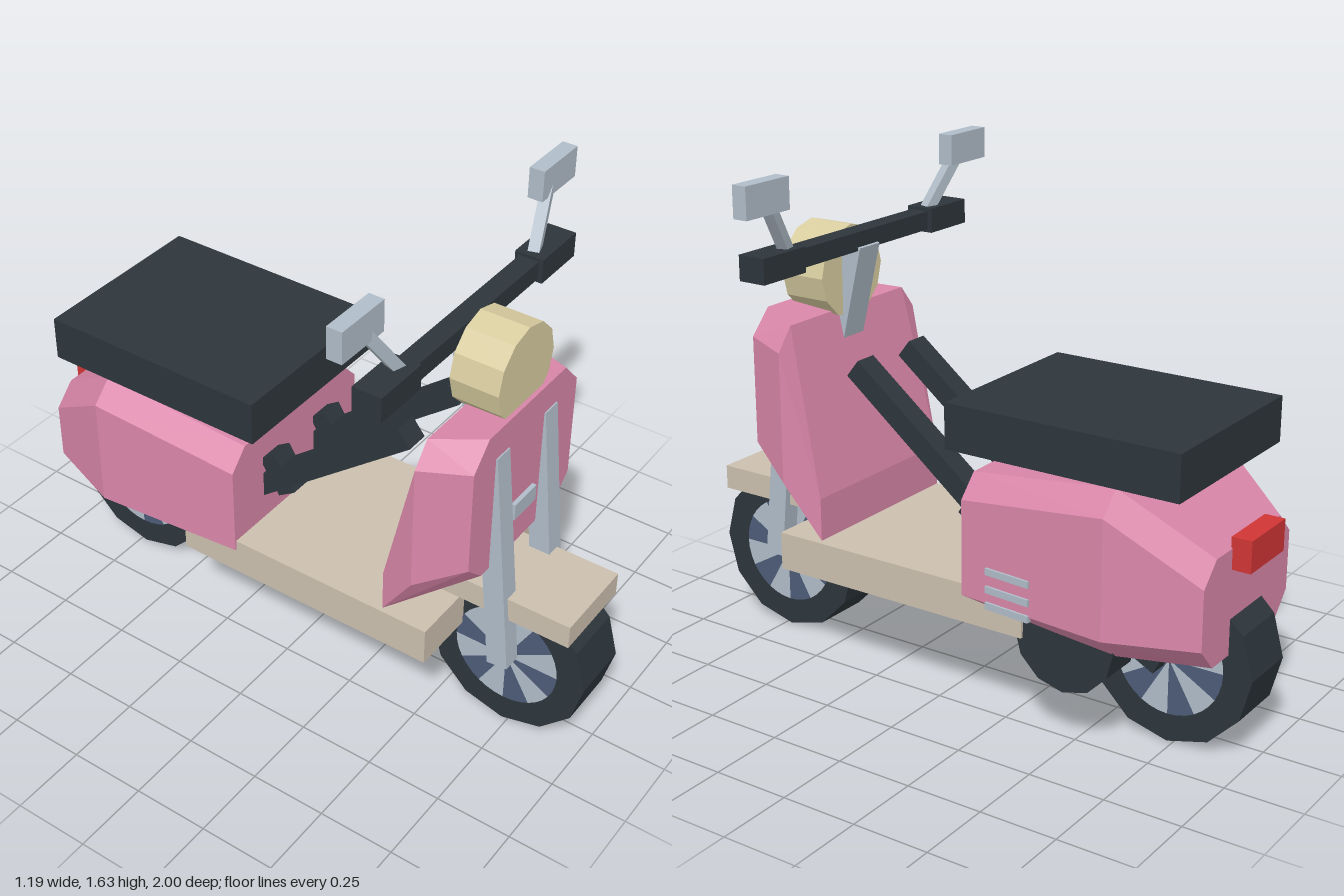
import * as THREE from 'three';
import { mergeGeometries } from 'three/addons/utils/BufferGeometryUtils.js';
import { ConvexGeometry } from 'three/addons/geometries/ConvexGeometry.js';

const paint = (name, color) => {
  const m = new THREE.MeshStandardMaterial({ color });
  m.name = name;
  return m;
};

export function createModel() {
  const pink = paint('pink', 0xd986a8);
  const dark = paint('charcoal', 0x2d353b);
  const beige = paint('beige', 0xcbbfae);
  const silver = paint('silver', 0xb0bcc8);
  const slate = paint('slate', 0x4d5b78);
  const cream = paint('cream', 0xd8cca0);
  const red = paint('red', 0xd03535);

  const model = new THREE.Group();
  model.name = 'scooter';

  const add = (name, geometry, material, parent = model) => {
    const mesh = new THREE.Mesh(geometry, material);
    mesh.name = name;
    parent.add(mesh);
    return mesh;
  };
  // Box given by its lower and upper limits on each axis
  const box = (name, mat, x0, x1, y0, y1, z0, z1) => {
    const mesh = add(name, new THREE.BoxGeometry(x1 - x0, y1 - y0, z1 - z0), mat);
    mesh.position.set((x0 + x1) / 2, (y0 + y1) / 2, (z0 + z1) / 2);
    return mesh;
  };
  // Square-section bar between two points
  const bar = (name, mat, from, to, width, thick) => {
    const a = new THREE.Vector3(...from), b = new THREE.Vector3(...to);
    const mesh = add(name, new THREE.BoxGeometry(width, thick, a.distanceTo(b)), mat);
    mesh.position.copy(a).add(b).multiplyScalar(0.5);
    mesh.lookAt(b);
    return mesh;
  };
  // Faceted twelve-sided drum lying along z, or along x
  const drum = (r, length, alongX) => {
    const g = new THREE.CylinderGeometry(r, r, length, 12).toNonIndexed();
    if (alongX) g.rotateZ(Math.PI / 2); else g.rotateX(Math.PI / 2);
    g.computeVertexNormals();
    return g;
  };
  // Faceted hull from points mirrored in x
  const hull = (name, mat, points) => add(name, new ConvexGeometry(
    points.flatMap(([x, y, z]) => [new THREE.Vector3(x, y, z), new THREE.Vector3(-x, y, z)])), mat);

  // Wheels with alternating wedges on both sides
  const wedges = (offset) => {
    const list = [];
    for (const side of [1, -1]) {
      for (let i = offset; i < 12; i += 2) {
        const g = new THREE.CircleGeometry(0.178, 1, i * Math.PI / 6, Math.PI / 6);
        g.rotateY(side * Math.PI / 2);
        g.translate(side * 0.103, 0, 0);
        list.push(g);
      }
    }
    return mergeGeometries(list);
  };
  for (const [name, z] of [['frontWheel', 0.73], ['rearWheel', -0.73]]) {
    const wheel = new THREE.Group();
    wheel.name = name;
    wheel.position.set(0, 0.27, z);
    add('tyre', drum(0.27, 0.2, true), dark, wheel);
    add('lightWedges', wedges(0), silver, wheel);
    add('darkWedges', wedges(1), slate, wheel);
    model.add(wheel);
  }

  // Floor and front mudguard
  box('floorboard', beige, -0.32, 0.32, 0.32, 0.445, -0.35, 0.57);
  box('frontMudguard', beige, -0.145, 0.145, 0.46, 0.54, 0.5, 0.955);

  // Leg shield: small front plate, wide middle, narrow foot
  hull('legShield', pink, [
    [0.21, 1.15, 0.685], [0.285, 1.07, 0.685], [0.285, 0.72, 0.685], [0.21, 0.65, 0.685],
    [0.285, 1.13, 0.53], [0.345, 1.055, 0.53], [0.345, 0.63, 0.53],
    [0.31, 0.59, 0.41], [0.31, 0.45, 0.41],
  ]);
  box('shieldBadge', silver, -0.06, 0.06, 0.765, 0.82, 0.66, 0.7);

  // Rear body: front, widest and tail sections
  hull('rearBody', pink, [
    [0.26, 0.785, -0.14], [0.325, 0.715, -0.14], [0.325, 0.41, -0.14],
    [0.3, 0.855, -0.65], [0.37, 0.785, -0.65], [0.37, 0.41, -0.65], [0.3, 0.34, -0.65],
    [0.2, 0.67, -0.92], [0.27, 0.6, -0.92], [0.27, 0.41, -0.92], [0.2, 0.335, -0.92],
  ]);
  box('seat', dark, -0.31, 0.31, 0.855, 1.0, -0.855, -0.07);
  box('tailLight', red, -0.105, 0.105, 0.605, 0.705, -0.98, -0.915);

  // Vents on the left side of the body
  for (const y of [0.405, 0.457, 0.515]) {
    const vent = box('vent', silver, 0.332, 0.348, y - 0.011, y + 0.011, -0.395, -0.235);
    vent.rotation.y = -0.088;
  }

  // Headlight, steering column and handlebar
  add('headlight', drum(0.15, 0.16, false), cream).position.set(0, 1.25, 0.59);
  bar('steeringColumn', silver, [0, 1.0, 0.565], [0, 1.35, 0.48], 0.1, 0.09);
  box('handlebar', dark, -0.33, 0.33, 1.33, 1.39, 0.445, 0.51);

  for (const s of [1, -1]) {
    // Grips and mirrors
    box('grip', dark, s * 0.415 - 0.095, s * 0.415 + 0.095, 1.32, 1.4, 0.43, 0.525);
    bar('mirrorStem', silver, [s * 0.35, 1.38, 0.475], [s * 0.47, 1.55, 0.44], 0.035, 0.035);
    box('mirror', silver, s * 0.502 - 0.095, s * 0.502 + 0.095, 1.53, 1.63, 0.41, 0.46);
    // Fork leg, running up the front of the shield
    bar('forkLeg', silver, [s * 0.133, 0.28, 0.735], [s * 0.133, 1.05, 0.655], 0.068, 0.07);
    // Sloping frame tube with its short upright
    bar('frameTube', dark, [s * 0.133, 0.99, 0.38], [s * 0.133, 0.55, -0.175], 0.078, 0.07);
    bar('frameUpright', dark, [s * 0.133, 0.695, -0.125], [s * 0.133, 0.58, -0.05], 0.078, 0.07);
    // Rear swing arm
    bar('swingArm', dark, [s * 0.135, 0.4, -0.5], [s * 0.135, 0.28, -0.73], 0.07, 0.075);
  }

  // Engine drum on the left side
  add('engine', drum(0.17, 0.14, true), dark).position.set(0.24, 0.35, -0.49);

  return model;
}
